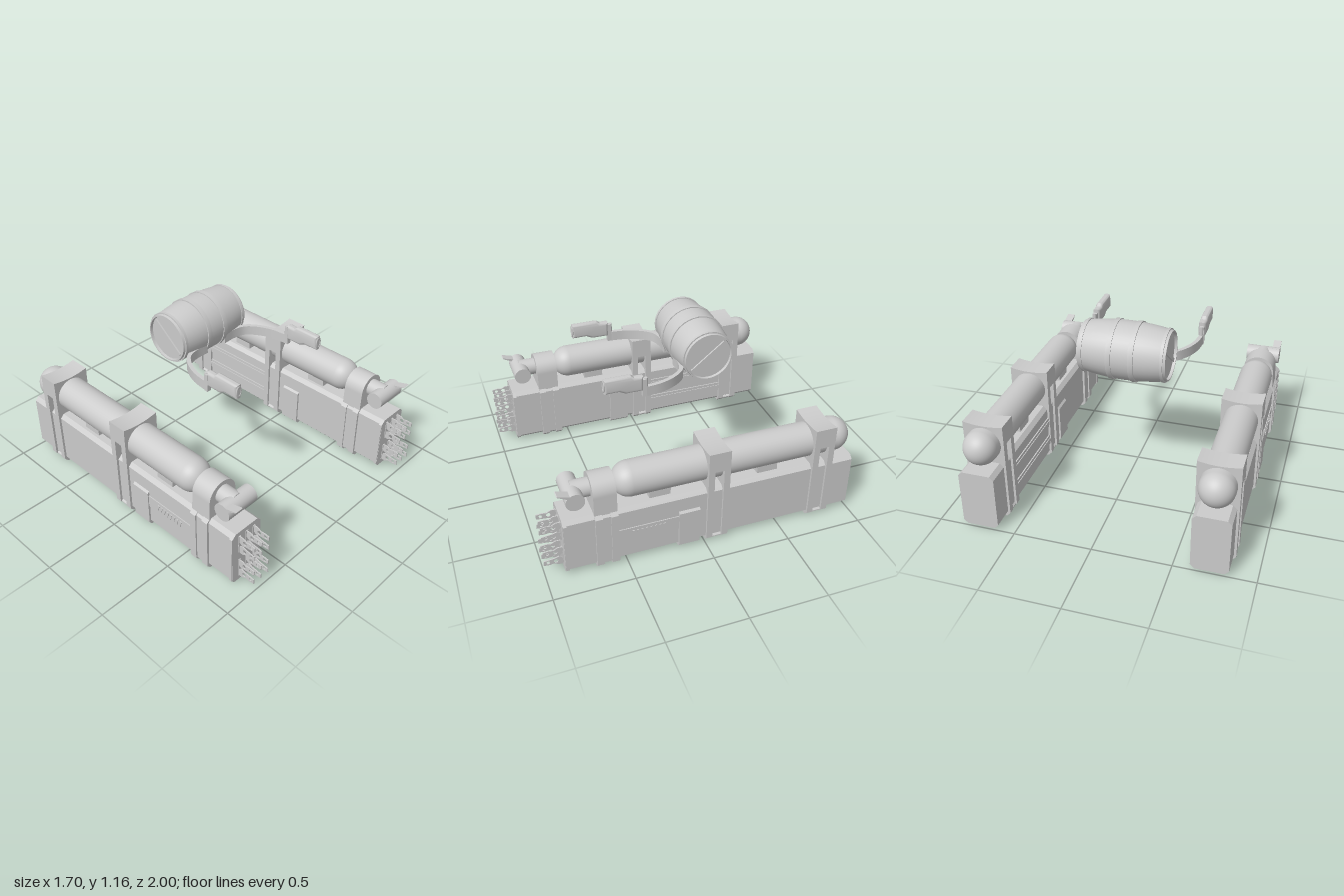
import * as THREE from 'three';
import { toCreasedNormals } from 'three/addons/utils/BufferGeometryUtils.js';

const mat = new THREE.MeshStandardMaterial({ color: 0xcccccc });
const V = (x, y) => new THREE.Vector2(x, y);

function add(parent, name, geo, x = 0, y = 0, z = 0) {
  const m = new THREE.Mesh(geo, mat);
  m.name = name;
  m.position.set(x, y, z);
  parent.add(m);
  return m;
}
// box given by its extents
function box(parent, name, x0, x1, y0, y1, z0, z1) {
  return add(parent, name, new THREE.BoxGeometry(Math.abs(x1 - x0), y1 - y0, Math.abs(z1 - z0)),
    (x0 + x1) / 2, (y0 + y1) / 2, (z0 + z1) / 2);
}
function extrude(shape, depth, bevel = 0) {
  const g = new THREE.ExtrudeGeometry(shape, {
    depth: depth - 2 * bevel, curveSegments: 16, bevelEnabled: bevel > 0,
    bevelSize: bevel, bevelOffset: -bevel, bevelThickness: bevel, bevelSegments: 4,
  });
  g.translate(0, 0, bevel - depth / 2);
  return toCreasedNormals(g, 0.6);
}
// (z, y) outline given thickness along x
const sidePlate = (shape, width, bevel) => extrude(shape, width, bevel).rotateY(-Math.PI / 2);
const cylX = (r, len, seg = 32) => new THREE.CylinderGeometry(r, r, len, seg).rotateZ(Math.PI / 2);
const cylZ = (r, len) => new THREE.CylinderGeometry(r, r, len, 32).rotateX(Math.PI / 2);

// rectangle with cut corners
function chamfered(hw, y0, y1, c) {
  return new THREE.Shape([V(-hw + c, y0), V(hw - c, y0), V(hw, y0 + c), V(hw, y1 - c),
    V(hw - c, y1), V(-hw + c, y1), V(-hw, y1 - c), V(-hw, y0 + c)]);
}
// strap outline with a dished top
function strapShape(y0, c) {
  const s = new THREE.Shape();
  s.moveTo(-0.13 + c, y0);
  s.lineTo(0.13 - c, y0);
  s.lineTo(0.13, y0 + c);
  s.lineTo(0.13, 0.665);
  s.quadraticCurveTo(0, 0.636, -0.13, 0.665);
  s.lineTo(-0.13, y0 + c);
  return s;
}
// pierced claw tooth, thin in x
function toothShape() {
  const s = new THREE.Shape([V(0.88, -0.015), V(0.905, -0.03), V(0.93, -0.022), V(0.998, -0.014),
    V(1, 0.016), V(0.965, 0.02), V(0.935, 0.016), V(0.91, 0.03), V(0.88, 0.03)]);
  for (const [z, r] of [[0.973, 0.011], [0.925, 0.014]]) {
    const h = new THREE.Path();
    h.absarc(z, 0, r, 0, Math.PI * 2, true);
    s.holes.push(h);
  }
  return s;
}

function sidePod(s) {
  const g = new THREE.Group();
  g.name = s > 0 ? 'leftPod' : 'rightPod';
  g.position.x = 0.72 * s;

  // long case and front face plate
  add(g, 'case', extrude(chamfered(0.115, 0.015, 0.4, 0.025), 1.88), 0, 0, -0.06);
  add(g, 'facePlate', extrude(chamfered(0.12, 0.01, 0.395, 0.025), 0.02), 0, 0, 0.868);

  // gas cylinder with saddles
  add(g, 'tank', new THREE.CapsuleGeometry(0.11, 1.335, 12, 40).rotateX(Math.PI / 2), 0, 0.53, -0.2225);
  for (const z of [0.275, -0.425]) box(g, 'saddle', -0.07, 0.07, 0.39, 0.45, z - 0.067, z + 0.067);

  // tall straps: two rails joined by a head and a foot
  for (const z of [-0.08, -0.78]) {
    for (const d of [-0.05, 0.05]) add(g, 'strapRail', extrude(strapShape(0, 0.025), 0.04), 0, 0, z + d);
    add(g, 'strapHead', extrude(strapShape(0.53, 0), 0.07), 0, 0, z);
    add(g, 'strapFoot', extrude(chamfered(0.122, 0.004, 0.04, 0.015), 0.07), 0, 0, z);
  }

  // front collar: low rails and an arch round the valve
  for (const z of [0.572, 0.667]) add(g, 'collarRail', extrude(chamfered(0.13, 0, 0.4, 0.025), 0.045), 0, 0, z);
  add(g, 'collarCore', extrude(chamfered(0.121, 0.005, 0.4, 0.025), 0.08), 0, 0, 0.62);
  const arch = new THREE.Shape();
  arch.moveTo(-0.11, 0.39);
  arch.lineTo(0.11, 0.39);
  arch.lineTo(0.105, 0.515);
  arch.absarc(0, 0.515, 0.105, 0, Math.PI, false);
  add(g, 'collarArch', extrude(arch, 0.14), 0, 0, 0.62);

  // valve neck, cross cylinder and lever
  add(g, 'valveNeck', cylZ(0.058, 0.12), 0, 0.535, 0.74);
  add(g, 'valveBarrel', cylX(0.057, 0.23), 0, 0.53, 0.795);
  const lever = new THREE.Shape([V(0.78, 0.555), V(0.82, 0.555), V(0.9, 0.597), V(0.895, 0.6), V(0.81, 0.575), V(0.78, 0.585)]);
  add(g, 'valveLever', sidePlate(lever, 0.055), s * 0.0875);

  // bracket wrapped round the case, with the vent strip on the outer side
  add(g, 'bracket', extrude(chamfered(0.128, 0.005, 0.29, 0.02), 0.135), 0, 0, 0.103);
  box(g, 'ventStrip', s * 0.11, s * 0.121, 0.165, 0.25, 0.17, 0.555);
  for (let i = 0; i < 8; i++) {
    const rib = box(g, 'ventRib', s * 0.118, s * 0.125, 0.185, 0.23, 0.25 + i * 0.028, 0.264 + i * 0.028);
    rib.rotation.x = 0.3;
  }

  // paired rails on the inner side
  for (const y of [0.1, 0.24]) {
    box(g, 'innerRail', -s * 0.11, -s * 0.123, y, y + 0.07, -0.72, -0.14);
    box(g, 'innerRailRidge', -s * 0.12, -s * 0.128, y + 0.02, y + 0.05, -0.72, -0.14);
  }

  // claw teeth in their slots
  const tooth = toothShape();
  const flipped = sidePlate(tooth, 0.007).rotateZ(Math.PI);
  const upright = sidePlate(tooth, 0.007);
  for (const x of [-0.06, 0, 0.06]) for (const y of [0.115, 0.305]) {
    box(g, 'toothSlot', x - 0.009, x + 0.009, y - 0.065, y + 0.065, 0.87, 0.884);
    add(g, 'upperTooth', upright, x, y + 0.034, 0);
    add(g, 'lowerTooth', flipped, x, y - 0.034, 0);
  }
  return g;
}

function drum() {
  const g = new THREE.Group();
  g.name = 'drum';
  g.position.set(0, 0.965, -0.235);
  const radius = x => 0.186 - 0.36 * x * x;

  // bulged shell with recessed ends
  const pts = [V(0, -0.262), V(0.148, -0.262), V(0.15, -0.28)];
  for (let i = 0; i <= 12; i++) {
    const x = -0.28 + i * 0.56 / 12;
    pts.push(V(radius(x), x));
  }
  pts.push(V(0.15, 0.28), V(0.148, 0.262), V(0, 0.262));
  add(g, 'shell', toCreasedNormals(new THREE.LatheGeometry(pts, 36).rotateZ(-Math.PI / 2), 0.6));

  // hoops
  for (const x of [-0.255, -0.07, 0.07, 0.255]) {
    const w = Math.abs(x) > 0.2 ? 0.009 : 0.016;
    const r = radius(x) + 0.007;
    const hoop = [V(r - 0.02, -w), V(r, -w), V(r, w), V(r - 0.02, w)];
    add(g, 'hoop', toCreasedNormals(new THREE.LatheGeometry(hoop, 24).rotateZ(-Math.PI / 2), 0.5), x);
  }
  // diagonal bar on each end
  for (const x of [-0.264, 0.264]) {
    const bar = add(g, 'endBar', new THREE.BoxGeometry(0.016, 0.024, 0.275), x);
    bar.rotation.x = 0.67;
  }
  return g;
}

function controlArm(s) {
  const g = new THREE.Group();
  g.name = s > 0 ? 'leftArm' : 'rightArm';

  // curved arm swept in plan
  const path = new THREE.CatmullRomCurve3([[0.08, -0.078], [0.18, -0.078], [0.255, -0.055], [0.315, 0.015], [0.355, 0.11], [0.37, 0.22]]
    .map(([x, z]) => new THREE.Vector3(x * s, z, 0)));
  const left = [], right = [];
  for (let i = 0; i <= 24; i++) {
    const p = path.getPoint(i / 24), t = path.getTangent(i / 24);
    left.push(V(p.x - t.y * 0.013, p.y + t.x * 0.013));
    right.unshift(V(p.x + t.y * 0.013, p.y - t.x * 0.013));
  }
  add(g, 'arm', extrude(new THREE.Shape([...left, ...right]), 0.065).rotateX(Math.PI / 2), 0, 0.8725, 0);

  // hinge tab and grip
  box(g, 'hingeTab', s * 0.356, s * 0.386, 0.84, 0.96, 0.212, 0.238);
  add(g, 'hingePin', new THREE.CylinderGeometry(0.012, 0.012, 0.07, 16), s * 0.37, 0.93, 0.215);
  const grip = new THREE.Shape([V(0.235, 0.885), V(0.345, 0.885), V(0.385, 0.905), V(0.48, 0.905),
    V(0.48, 1), V(0.31, 1), V(0.29, 0.985), V(0.235, 0.985)]);
  add(g, 'grip', sidePlate(grip, 0.05, 0.018), s * 0.367);
  const rim = add(g, 'gripRim', new THREE.TorusGeometry(0.018, 0.005, 8, 24), s * 0.367, 0.953, 0.478);
  rim.scale.y = 1.8;
  return g;
}

export function createModel() {
  const model = new THREE.Group();
  model.name = 'twinPodRig';
  model.add(drum());
  for (const s of [-1, 1]) model.add(sidePod(s), controlArm(s));
  return model;
}
